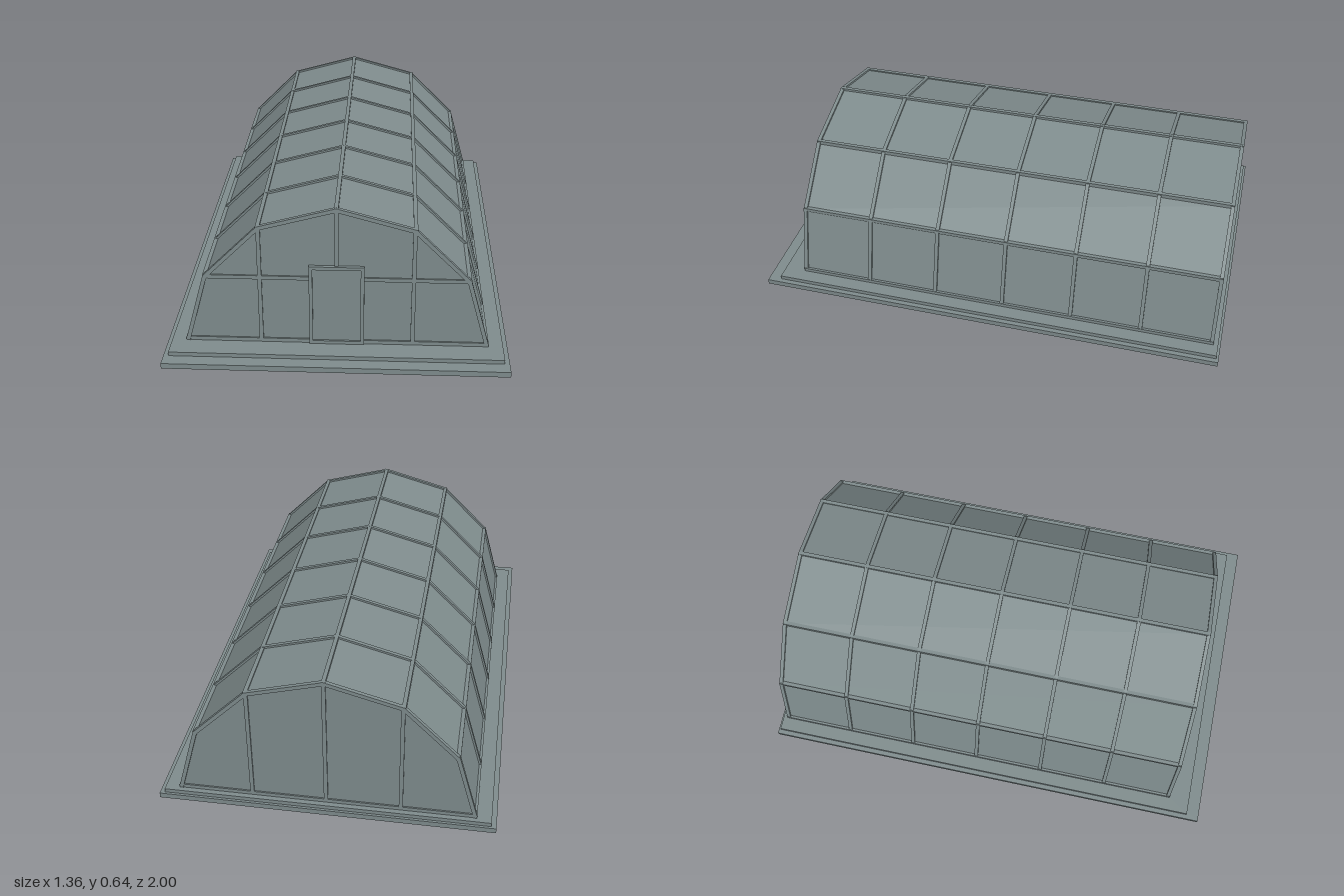
import * as THREE from 'three';

export function createModel() {
  const group = new THREE.Group();
  const grey = new THREE.MeshStandardMaterial({ color: 0x7f8c8d });
  grey.name = 'slate grey';

  const add = (name, geometry) => {
    const mesh = new THREE.Mesh(geometry, grey);
    mesh.name = name;
    group.add(mesh);
    return mesh;
  };
  const box = (name, x0, x1, y0, y1, z0, z1) =>
    add(name, new THREE.BoxGeometry(x1 - x0, y1 - y0, z1 - z0))
      .position.set((x0 + x1) / 2, (y0 + y1) / 2, (z0 + z1) / 2);

  const T = 0.016; // bar thickness
  const front = 0.847, back = -0.963;
  const profile = [
    [-0.594, 0.047], [-0.515, 0.333], [-0.302, 0.547], [0, 0.63],
    [0.302, 0.547], [0.515, 0.333], [0.594, 0.047],
  ];

  // Stepped foundation
  box('lowerBase', -0.68, 0.68, 0, 0.023, -1, 1);
  box('upperBase', -0.66, 0.66, 0.023, 0.04, -0.99, 0.945);

  // Glazed body: faceted arch
  const arch = new THREE.Shape(profile.map(([x, y]) => new THREE.Vector2(x, y)));
  arch.lineTo(0.596, 0.038);
  arch.lineTo(-0.596, 0.038);
  const body = new THREE.ExtrudeGeometry(arch, { depth: front - back, bevelEnabled: false });
  body.translate(0, 0, back);
  add('glazing', body);

  // Arched ribs, one at each bay line
  const bays = 6;
  for (let i = 0; i <= bays; i++) {
    const z = THREE.MathUtils.lerp(back, front, i / bays);
    for (let j = 0; j < profile.length - 1; j++) {
      const [ax, ay] = profile[j], [bx, by] = profile[j + 1];
      const bar = add('rib', new THREE.BoxGeometry(Math.hypot(bx - ax, by - ay) + 0.004, T, T));
      bar.position.set((ax + bx) / 2, (ay + by) / 2, z);
      bar.rotation.z = Math.atan2(by - ay, bx - ax);
    }
  }

  // Lengthwise purlins along every fold
  const h = T / 2;
  for (const [x, y] of profile) box('purlin', x - h, x + h, y - h, y + h, back - h, front + h);

  // Gable posts and rails
  const f1 = front + 0.006, b1 = back - 0.006;
  for (const x of [-0.3, 0.3]) {
    box('frontPost', x - h, x + h, 0.04, 0.547, front - h, f1);
    box('backPost', x - h, x + h, 0.04, 0.547, b1, back + h);
  }
  box('frontCentrePost', -h, h, 0.38, 0.63, front - h, f1);
  box('backCentrePost', -h, h, 0.04, 0.63, b1, back + h);
  for (const s of [-1, 1]) {
    const xs = [s * 0.1, s * 0.515].sort((a, b) => a - b);
    box('frontRail', xs[0], xs[1], 0.325, 0.341, front - h, f1);
    const xb = [s * 0.1, s * 0.594].sort((a, b) => a - b);
    box('frontSill', xb[0], xb[1], 0.04, 0.056, front - h, f1);
  }
  box('backSill', -0.594, 0.594, 0.04, 0.056, b1, back + h);

  // Door: frame around a recessed panel
  const rect = (P, x, y0, y1) => {
    const p = new P();
    p.moveTo(-x, y0);
    p.lineTo(x, y0);
    p.lineTo(x, y1);
    p.lineTo(-x, y1);
    p.closePath();
    return p;
  };
  const frame = rect(THREE.Shape, 0.108, 0.041, 0.39);
  frame.holes.push(rect(THREE.Path, 0.094, 0.055, 0.376));
  const frameGeometry = new THREE.ExtrudeGeometry(frame, { depth: 0.016, bevelEnabled: false });
  frameGeometry.translate(0, 0, front - 0.002);
  add('doorFrame', frameGeometry);
  box('doorPanel', -0.095, 0.095, 0.054, 0.377, front - 0.002, front + 0.006);

  return group;
}
